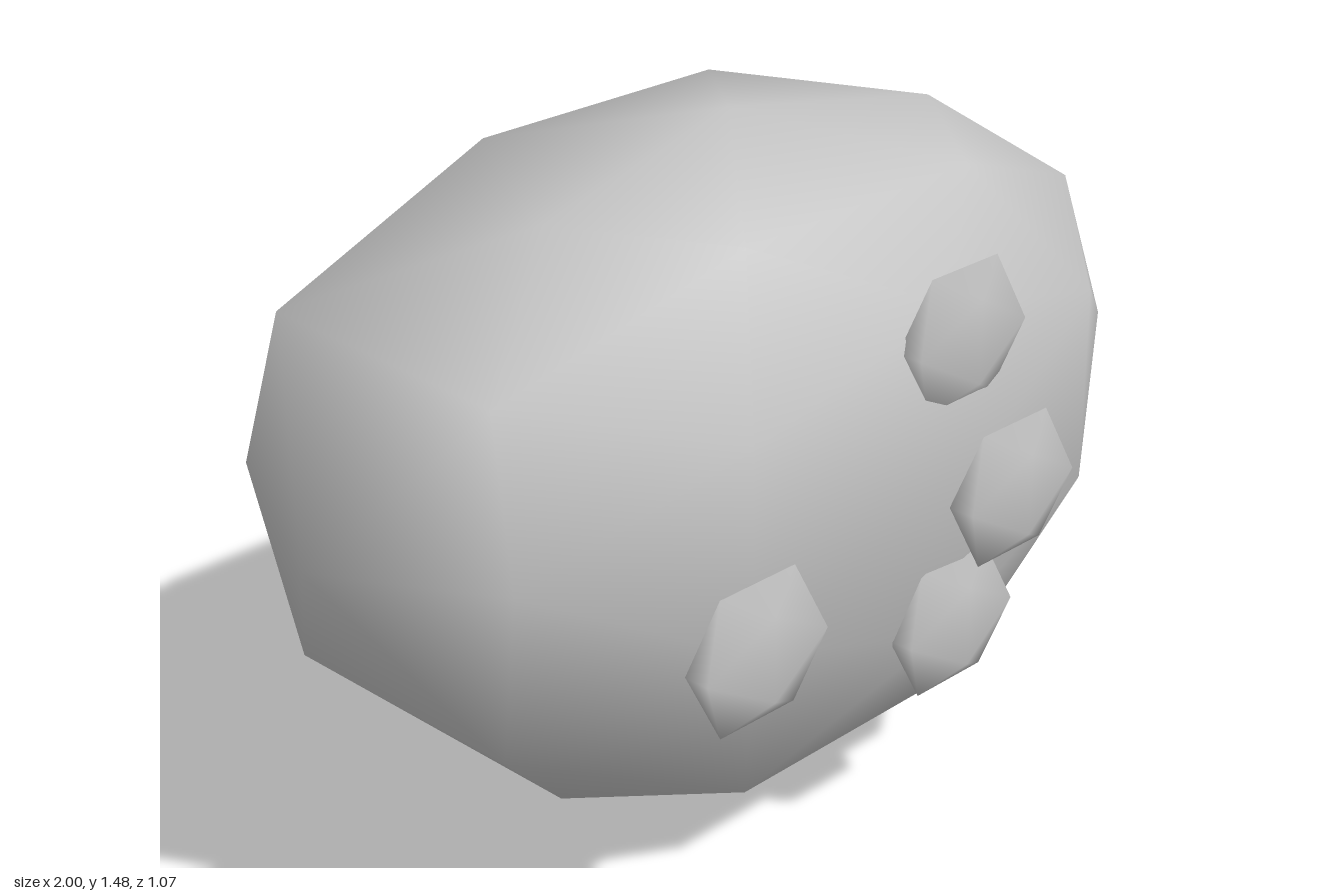
import * as THREE from 'three';
import { mergeVertices } from 'three/addons/utils/BufferGeometryUtils.js';

const stone = new THREE.MeshStandardMaterial({ color: 0xc4c4c4 });
stone.name = 'stone grey';

// Icosahedron with shared corners, so that it shades smoothly
function ball(detail) {
  const g = new THREE.IcosahedronGeometry(1, detail);
  g.deleteAttribute('normal');
  g.deleteAttribute('uv');
  return mergeVertices(g);
}

// Depth of the body: rounded in front, nearly flat behind
function depth(x, z) {
  if (z > -0.1) {
    return -0.06 + 0.52 * z * (1 + 0.12 * (1 - z * z)) - 0.09 * x * Math.abs(x) * z;
  }
  // The flat back runs further out on the narrow side than on the blunt side
  if (z > -0.4) return x > 0 ? -0.195 : -0.46;
  return -0.43 + 0.105 * z;
}

// Egg-like body: pointed towards -x, deeper below the middle than above it
function bodyGeometry() {
  const g = ball(1);
  const pos = g.attributes.position;
  for (let i = 0; i < pos.count; i++) {
    const x = pos.getX(i);
    const y = pos.getY(i);
    const z = pos.getZ(i);
    const xy = x * x * y * y;
    const shift = 0.05 * y * y + 0.235 * z * z + 0.32 * xy - 0.1 * x * x * z * z;
    const spread = 1 - 0.14 * z * Math.abs(z) - 0.2 * xy;
    pos.setXYZ(i, x + shift, 0.89 + y * (y > 0 ? 0.59 : 0.89) * spread, depth(x, z));
  }
  g.computeVertexNormals();
  return g;
}

// Flattened knob
function knobGeometry() {
  const g = ball(0);
  g.scale(0.176, 0.161, 0.054);
  g.computeVertexNormals();
  return g;
}

export function createModel() {
  const model = new THREE.Group();
  model.name = 'knobbedStone';

  const body = new THREE.Mesh(bodyGeometry(), stone);
  body.name = 'body';
  model.add(body);

  // Four knobs on the front face: position and size
  const knob = knobGeometry();
  const knobs = [
    ['upperKnob', 0.185, 1.115, 0.415, 1],
    ['middleKnob', 0.257, 0.802, 0.493, 1],
    ['lowerKnob', 0.185, 0.514, 0.415, 1],
    ['sideKnob', -0.357, 0.66, 0.412, 1.04],
  ];
  for (const [name, x, y, z, size] of knobs) {
    const mesh = new THREE.Mesh(knob, stone);
    mesh.name = name;
    mesh.position.set(x, y, z);
    mesh.scale.set(size, size, 1);
    model.add(mesh);
  }
  return model;
}
